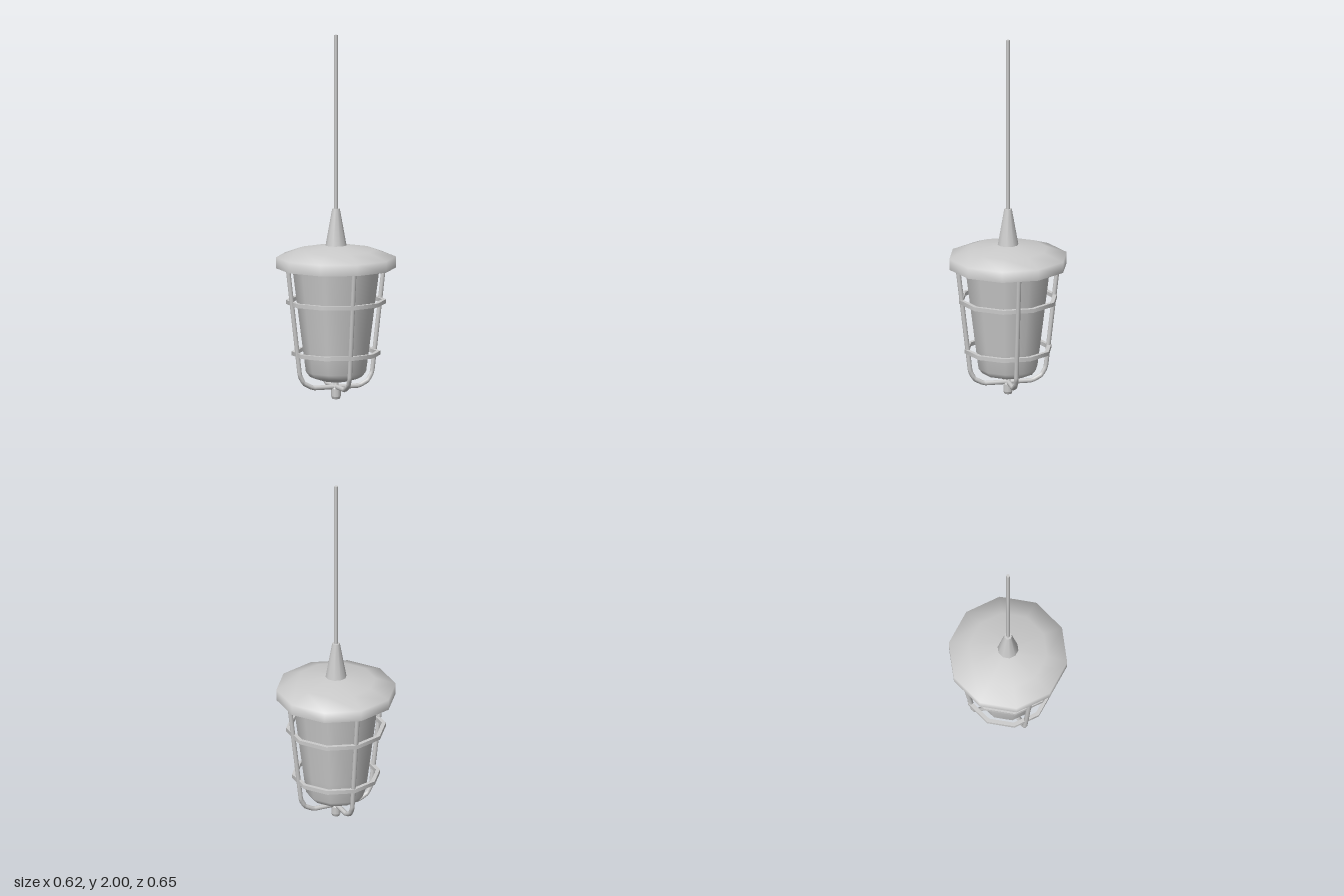
import * as THREE from 'three';
import { mergeGeometries } from 'three/addons/utils/BufferGeometryUtils.js';

const material = new THREE.MeshStandardMaterial({ color: 0xcccccc });
const SIDES = 10;

function addMesh(parent, name, geometry) {
  const mesh = new THREE.Mesh(geometry, material);
  mesh.name = name;
  parent.add(mesh);
  return mesh;
}

// Turned part: each profile runs bottom to top [radius, y]; separate profiles meet at a sharp edge
function turned(...profiles) {
  return mergeGeometries(profiles.map((p) =>
    new THREE.LatheGeometry(p.map(([r, y]) => new THREE.Vector2(r, y)), SIDES)));
}

// Ten-sided hoop with a rectangular section
function hoop(radius, y) {
  const h = 0.011, inner = radius - 0.022;
  return turned(
    [[inner, y - h], [radius, y - h]],
    [[radius, y - h], [radius, y + h]],
    [[radius, y + h], [inner, y + h]],
    [[inner, y + h], [inner, y - h]]);
}

// Straight-segment path so the bar keeps its bends
function barPath(points) {
  const path = new THREE.CurvePath();
  const v = points.map(([x, y]) => new THREE.Vector3(x, y, 0));
  for (let i = 1; i < v.length; i++) path.add(new THREE.LineCurve3(v[i - 1], v[i]));
  return path;
}

export function createModel() {
  const lamp = new THREE.Group();
  lamp.name = 'pendantCageLamp';

  // Hanging cable and its tapered holder
  const cable = addMesh(lamp, 'cable', new THREE.CylinderGeometry(0.01, 0.01, 0.98, SIDES));
  cable.position.y = 1.51;
  const holder = addMesh(lamp, 'cableHolder', new THREE.CylinderGeometry(0.021, 0.058, 0.205, SIDES));
  holder.position.y = 0.9425;

  // Wide cap with a flat underside and softened shoulder
  addMesh(lamp, 'cap', turned(
    [[0, 0.72], [0.327, 0.72]],
    [[0.327, 0.72], [0.327, 0.78], [0.215, 0.82], [0.05, 0.845], [0, 0.845]]));

  // Tapered glass with rounded bottom
  addMesh(lamp, 'glass', turned(
    [[0, 0.096], [0.075, 0.101], [0.142, 0.122], [0.164, 0.15], [0.18, 0.27], [0.238, 0.725]]));

  // Protective cage: four bent bars and two hoops
  const cage = new THREE.Group();
  cage.name = 'cage';
  lamp.add(cage);
  const path = barPath([[0.28, 0.735], [0.21, 0.135], [0.186, 0.093], [0.135, 0.066], [0, 0.066]]);
  const bar = new THREE.TubeGeometry(path, 40, 0.013, 8);
  for (let i = 0; i < 4; i++) {
    addMesh(cage, 'cageBar', bar).rotation.y = i * Math.PI / 2;
  }
  addMesh(cage, 'upperHoop', hoop(0.273, 0.535));
  addMesh(cage, 'lowerHoop', hoop(0.241, 0.252));

  // Small knob where the bars meet
  addMesh(cage, 'bottomKnob', turned(
    [[0, 0], [0.02, 0]],
    [[0.02, 0], [0.026, 0.014]],
    [[0.026, 0.014], [0.026, 0.056]],
    [[0.026, 0.056], [0.014, 0.075], [0.014, 0.1]]));

  return lamp;
}
